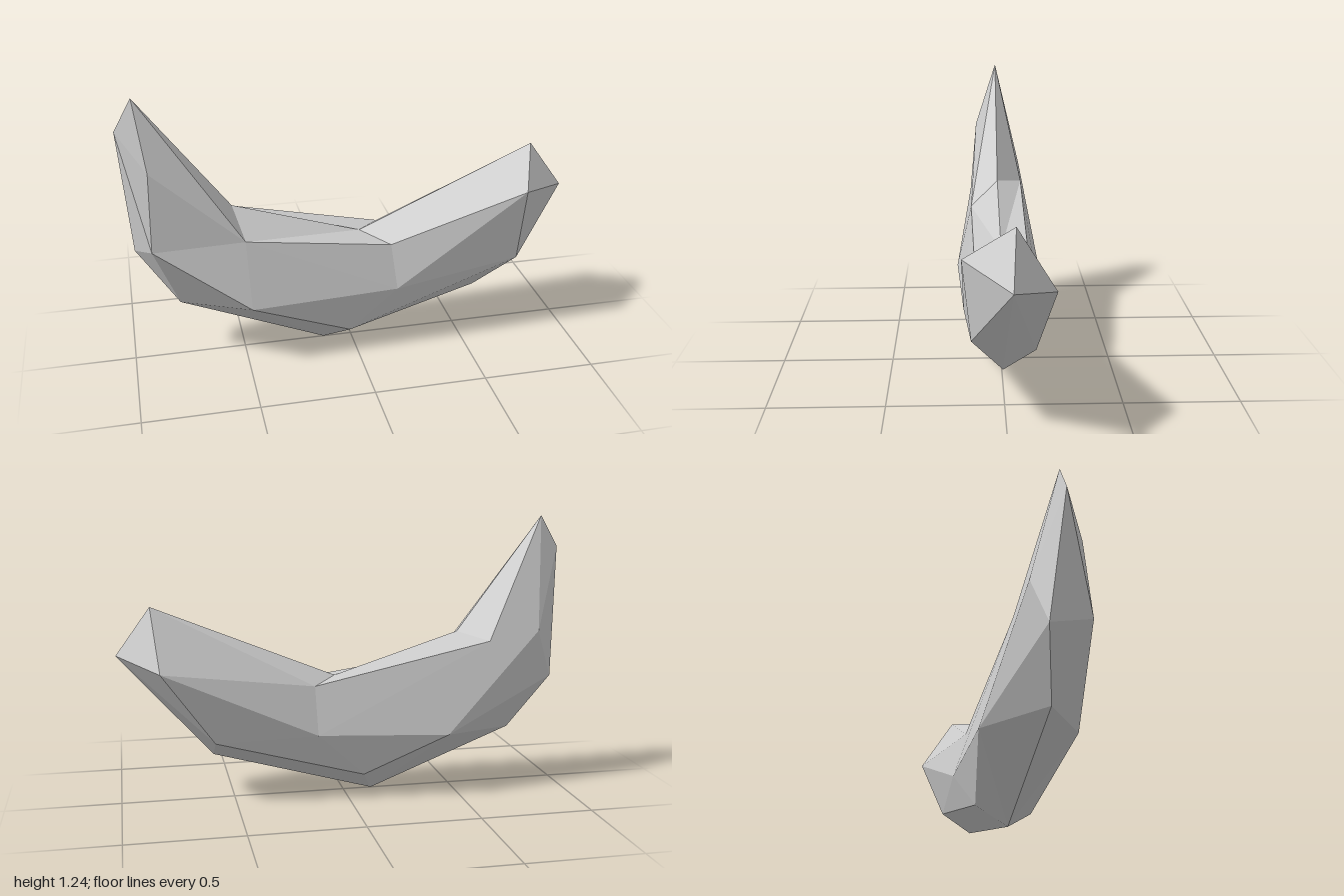
import * as THREE from 'three';

// Eight-point cross-sections from the right tip (-x) to the left tip (+x), each running
// top, front upper, front lower, keel front, keel, keel back, back lower, back upper.
// Points that merge are simply repeated.
function sections() {
  const tip = (p) => Array(8).fill(p);
  // a: front lower and keel front, b: keel back and back lower
  const merged = (top, frontUp, a, keel, b, backUp) => [top, frontUp, a, a, keel, b, b, backUp];
  const heel = [-0.96, 0.51, -0.07];
  return [
    tip([-1, 1.1, 0]),
    merged([-0.92, 1.24, 0], [-0.88, 0.94, 0.1], [-0.89, 0.59, 0.13], heel, heel, [-0.88, 0.73, -0.12]),
    merged([-0.53, 0.72, 0], [-0.49, 0.6, 0.13], [-0.48, 0.3, 0.2], [-0.78, 0.26, -0.01],
      [-0.44, 0.29, -0.205], [-0.65, 0.69, -0.12]),
    [[0.04, 0.54, 0], [0.16, 0.51, 0.12], [0.18, 0.31, 0.17], [-0.03, 0.1, 0.13],
      [-0.13, 0, 0], [-0.07, 0.105, -0.125], [0.145, 0.31, -0.175], [0.15, 0.52, -0.12]],
    merged([0.85, 0.88, -0.03], [0.77, 0.73, 0.175], [0.75, 0.39, 0.14], [0.59, 0.2, 0.01],
      [0.59, 0.285, -0.125], [0.82, 0.615, -0.19]),
    tip([1, 0.67, -0.015]),
  ];
}

// Skins neighbouring sections; 'f' and 'b' pick which diagonal folds each quad.
function skin(rings, folds) {
  const pos = [];
  const tri = (p, q, r) => {
    if (p !== q && q !== r && r !== p) pos.push(...p, ...q, ...r);
  };
  for (let i = 0; i < rings.length - 1; i++) {
    const a = rings[i], b = rings[i + 1];
    for (let j = 0; j < 8; j++) {
      const k = (j + 1) % 8;
      if (folds[i][j] === 'f') {
        tri(a[j], a[k], b[k]);
        tri(a[j], b[k], b[j]);
      } else {
        tri(a[j], a[k], b[j]);
        tri(a[k], b[k], b[j]);
      }
    }
  }
  const geometry = new THREE.BufferGeometry();
  geometry.setAttribute('position', new THREE.Float32BufferAttribute(pos, 3));
  geometry.computeVertexNormals();
  return geometry;
}

export function createModel() {
  const group = new THREE.Group();
  group.name = 'crescent';
  // Faceted curved body
  const body = new THREE.Mesh(
    skin(sections(), ['ffffffff', 'fbffffbb', 'bfffbfbf', 'bbffbfff', 'ffffffff']),
    new THREE.MeshStandardMaterial({ color: 0xcccccc, flatShading: true })
  );
  body.name = 'crescentBody';
  group.add(body);
  return group;
}
